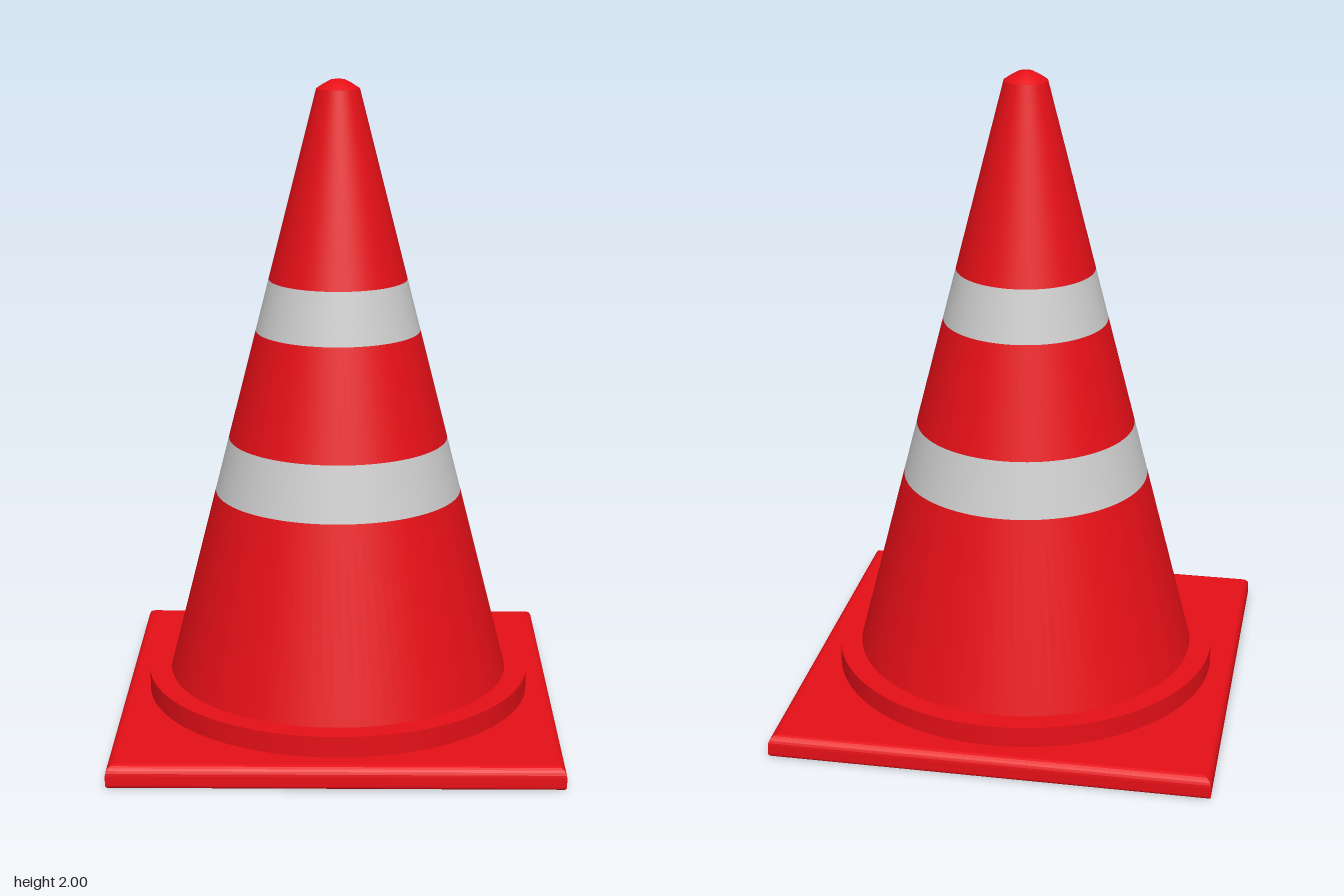
import * as THREE from 'three';

const SEGMENTS = 96;
const RED = 0xe50f17;
const GREY = 0xcccccc;

// Radius of the tapering cone at a given height
const coneRadius = (y) => THREE.MathUtils.mapLinear(y, 0.135, 1.97, 0.533, 0.066);

function lathe(name, profile, color, sides = SEGMENTS, start = 0, flatShading = false) {
  const points = profile.map(([r, y]) => new THREE.Vector2(r, y));
  const mesh = new THREE.Mesh(
    new THREE.LatheGeometry(points, sides, start),
    new THREE.MeshStandardMaterial({ color, flatShading })
  );
  mesh.name = name;
  return mesh;
}

export function createModel() {
  const model = new THREE.Group();
  model.name = 'trafficCone';

  // Square base plate: a four-sided lathe with rounded upper and lower edges
  const half = 0.675, height = 0.07, top = 0.03, bottom = 0.012, steps = 6;
  const plate = [[0, 0]];
  for (let i = 0; i <= steps; i++) {
    const a = (i / steps) * Math.PI / 2;
    plate.push([half - bottom + bottom * Math.sin(a), bottom - bottom * Math.cos(a)]);
  }
  for (let i = 0; i <= steps; i++) {
    const a = (i / steps) * Math.PI / 2;
    plate.push([half - top + top * Math.cos(a), height - top + top * Math.sin(a)]);
  }
  plate.push([0, height]);
  const square = plate.map(([r, y]) => [r * Math.SQRT2, y]);
  model.add(lathe('basePlate', square, RED, 4, Math.PI / 4, true));

  // Round collar on the plate
  const collar = new THREE.Mesh(
    new THREE.CylinderGeometry(0.602, 0.602, 0.07, SEGMENTS),
    new THREE.MeshStandardMaterial({ color: RED })
  );
  collar.name = 'collar';
  collar.position.y = 0.1;
  model.add(collar);

  // Cone body in alternating red sections and reflective bands
  const bands = [
    ['lowerBody', 0.135, 0.72, RED],
    ['lowerBand', 0.72, 0.89, GREY],
    ['middleBody', 0.89, 1.23, RED],
    ['upperBand', 1.23, 1.39, GREY],
    ['upperBody', 1.39, 1.97, RED],
  ];
  for (const [name, y0, y1, color] of bands) {
    model.add(lathe(name, [[coneRadius(y0), y0], [coneRadius(y1), y1]], color));
  }

  // Shallow domed tip
  const tip = [[0.066, 1.97], [0.045, 1.984], [0.023, 1.996], [0, 2]];
  model.add(lathe('tip', tip, RED));

  return model;
}
